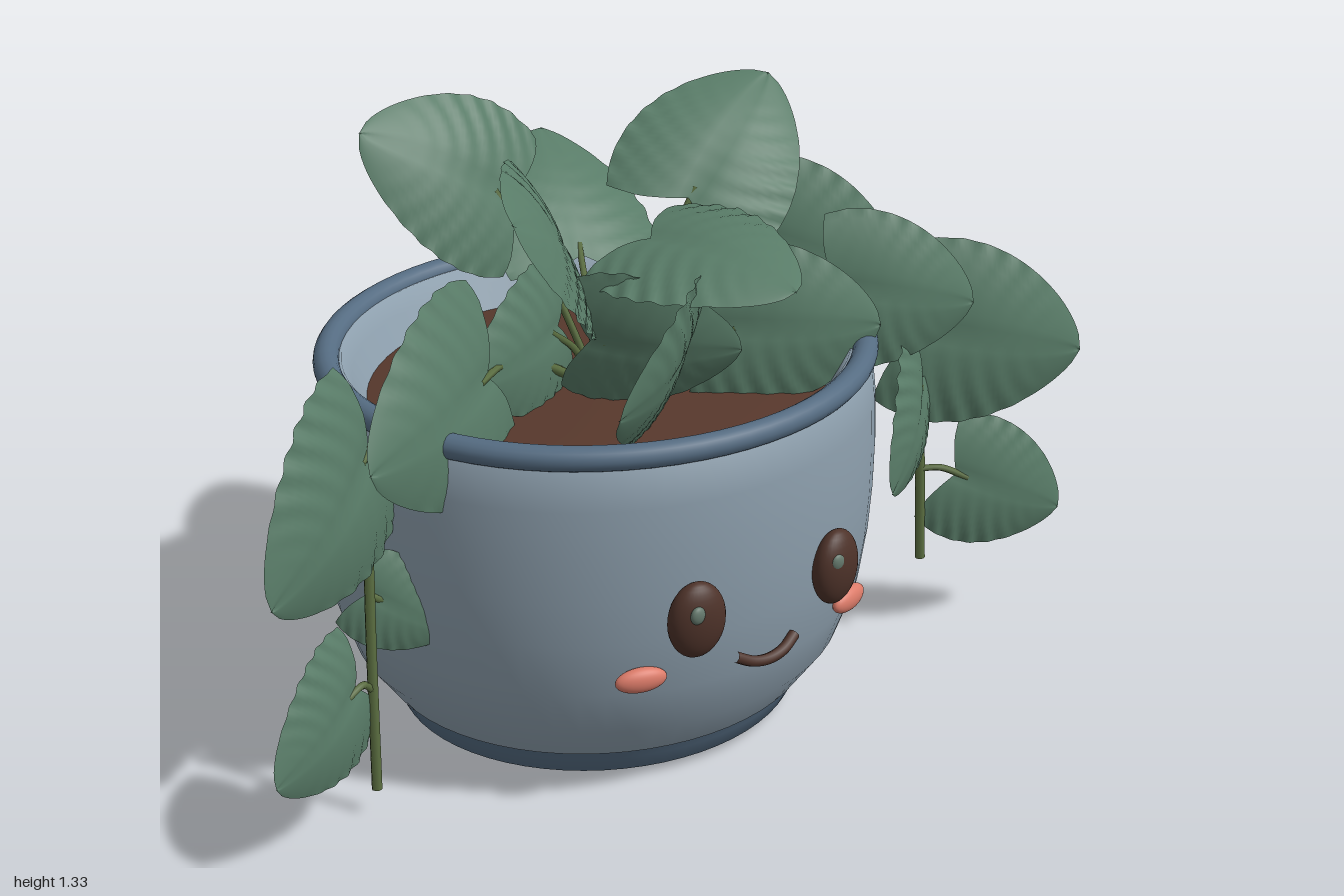
import * as THREE from 'three';

const mat = (name, color, side = THREE.FrontSide) => {
  const m = new THREE.MeshStandardMaterial({ color, side });
  m.name = name;
  return m;
};
const V = (a) => new THREE.Vector3(...a);

export function createModel() {
  const root = new THREE.Group();
  root.name = 'pottedPlant';

  const glaze = mat('greyBlueGlaze', 0x8d9fad, THREE.DoubleSide);
  const trim = mat('darkBlueTrim', 0x556c82, THREE.DoubleSide);
  const soilMat = mat('soilBrown', 0x57382c);
  const dark = mat('faceBrown', 0x4d3229);
  const glint = mat('eyeGlint', 0x64786c);
  const blush = mat('blushPink', 0xdc7b69);
  const green = mat('leafGreen', 0x587b67, THREE.DoubleSide);
  const stemMat = mat('stemGreen', 0x5a6d40);

  const add = (parent, name, geo, material, pos = [0, 0, 0], scale = [1, 1, 1]) => {
    const m = new THREE.Mesh(geo, material);
    m.name = name;
    m.position.set(...pos);
    m.scale.set(...scale);
    parent.add(m);
    return m;
  };
  const lathe = (pts) => new THREE.LatheGeometry(pts.map((p) => new THREE.Vector2(...p)), 64);

  // Pot: slightly oval, radii given along z
  const pot = new THREE.Group();
  pot.name = 'pot';
  pot.position.set(-0.008, 0, -0.016);
  pot.scale.set(1.073, 1, 1);
  root.add(pot);
  add(pot, 'potBody', lathe([
    [0.45, 0.085], [0.508, 0.17], [0.545, 0.28], [0.561, 0.4], [0.567, 0.5], [0.568, 0.6],
    [0.564, 0.7], [0.553, 0.8], [0.51, 0.81], [0.49, 0.77], [0.455, 0.7],
  ]), glaze);
  add(pot, 'potBase', lathe([
    [0.11, 0.12], [0.125, 0.075], [0.17, 0.045], [0.25, 0.02], [0.34, 0], [0.39, 0.008],
    [0.415, 0.022], [0.432, 0.06], [0.447, 0.09],
  ]), trim);
  const rim = add(pot, 'potRim', new THREE.TorusGeometry(0.54, 0.026, 16, 72), trim, [0, 0.806, 0]);
  rim.rotation.x = Math.PI / 2;
  add(pot, 'soil', lathe([[0.47, 0.715], [0.3, 0.735], [0, 0.74]]), soilMat);

  // Face
  const face = new THREE.Group();
  face.name = 'face';
  root.add(face);
  const ball = new THREE.SphereGeometry(1, 28, 18);
  for (const s of [-1, 1]) {
    const x = -0.006 + s * 0.183;
    add(face, 'eye', ball, dark, [x, 0.453, 0.542], [0.063, 0.083, 0.036]).rotation.y = s * 0.2;
    add(face, 'eyeGlint', ball, glint, [x - 0.02, 0.48, 0.57], [0.017, 0.019, 0.01]);
    add(face, 'cheek', ball, blush, [-0.006 + s * 0.277, 0.322, 0.485], [0.055, 0.027, 0.02]).rotation.y = s * 0.3;
  }
  const smile = new THREE.CatmullRomCurve3(
    [[-0.083, 0.329, 0.54], [-0.045, 0.311, 0.55], [-0.005, 0.305, 0.553], [0.035, 0.311, 0.55], [0.073, 0.329, 0.54]].map(V));
  add(face, 'mouth', new THREE.TubeGeometry(smile, 24, 0.012, 8), dark);

  // Stems and vines
  const stem = (name, pts, r) => {
    const curve = new THREE.CatmullRomCurve3(pts.map(V));
    add(root, name, new THREE.TubeGeometry(curve, 8 * pts.length, r, 8), stemMat);
  };
  stem('rightVine', [[-0.7, 0.06, 0.15], [-0.68, 0.5, 0.12], [-0.65, 0.76, 0.09], [-0.54, 0.86, 0.07], [-0.25, 0.85, 0.04], [-0.03, 0.72, 0]], 0.011);
  stem('leftVine', [[0.68, 0.2, 0.28], [0.67, 0.55, 0.26], [0.64, 0.78, 0.23], [0.5, 0.88, 0.22], [0.25, 0.87, 0.19], [0.04, 0.72, 0.1]], 0.011);
  stem('sideVine', [[0.62, 0.82, -0.12], [0.52, 0.865, -0.16], [0.2, 0.87, -0.19], [0.08, 0.72, -0.1]], 0.01);

  // Blunt heart-shaped leaf: a plane reshaped with lobes, a soft fold and side-vein ripples
  const leafGeo = new THREE.PlaneGeometry(2, 1, 16, 44);
  const p = leafGeo.attributes.position;
  for (let i = 0; i < p.count; i++) {
    const v = p.getX(i), u = p.getY(i) + 0.5, a = Math.abs(v);
    const half = 0.53 * Math.pow(Math.max(0, Math.sin(Math.PI * Math.pow(0.2 + 0.8 * u, 0.8))), 0.6);
    const back = 0.2 * (1 - u) * a * (1.7 - a);
    const bend = 0.08 * Math.sin(Math.PI * u) - 0.09 * a * a * half * 2 - 0.008 * Math.exp(-a * 25);
    const ripple = 0.012 * a * Math.sin(48 * u - 14 * a) * Math.sin(Math.PI * Math.min(1, u + 0.15));
    p.setXYZ(i, v * half, u - back, bend + ripple);
  }
  leafGeo.computeVertexNormals();

  // Leaf from its base and tip, facing roughly along n, with a leaf stalk from s
  const leaf = (name, b, t, n, s) => {
    const base = V(b), axis = V(t).sub(base), len = axis.length();
    axis.normalize();
    const side = axis.clone().cross(V(n)).normalize();
    const normal = side.clone().cross(axis);
    const m = add(root, name, leafGeo, green, b, [len, len, len]);
    m.quaternion.setFromRotationMatrix(new THREE.Matrix4().makeBasis(side, axis, normal));
    const start = V(s), mid = start.clone().lerp(base, 0.55);
    mid.y += 0.01;
    const stalk = new THREE.CatmullRomCurve3([start, mid, base.clone().addScaledVector(axis, 0.03)]);
    add(root, name + 'Stalk', new THREE.TubeGeometry(stalk, 12, 0.008, 6), stemMat);
  };

  // Upright crown leaves
  leaf('crownLeafBack', [-0.13, 1.12, -0.165], [-0.42, 1.29, -0.265], [0, 0.475, 0.88], [0, 0.72, -0.04]);
  leaf('crownLeafRight', [-0.1, 1.04, 0], [-0.37, 1.22, 0.19], [0.78, 0.42, 0.45], [0.01, 0.72, 0.03]);
  leaf('crownLeafLeft', [0.23, 1.08, -0.01], [0.53, 1.27, -0.11], [-0.48, 0.6, 0.62], [0.04, 0.72, 0]);
  leaf('crownLeafRear', [0.13, 0.9, -0.25], [0.25, 1.08, -0.56], [0, 0.84, 0.53], [0.02, 0.72, -0.06]);
  leaf('crownLeafFront', [0.04, 1.07, 0.1], [0.13, 1.04, 0.45], [-0.2, 0.97, 0.05], [0.03, 0.72, 0.03]);

  // Leaves leaning on the front of the soil
  leaf('innerLeaf', [0.02, 0.89, 0.25], [-0.28, 0.86, 0.41], [0.5, -0.3, 0.8], [0.02, 0.72, 0.1]);
  leaf('innerLeaf', [-0.13, 0.89, 0.12], [0.13, 0.86, 0.29], [-0.55, -0.25, 0.78], [-0.02, 0.72, 0.06]);
  leaf('innerLeaf', [0.14, 0.88, 0.21], [0.46, 0.85, 0.35], [-0.4, 0.1, 0.9], [0.06, 0.74, 0.12]);
  leaf('innerLeaf', [-0.12, 0.88, 0], [-0.4, 0.85, 0.09], [0.3, 0.1, 0.93], [-0.03, 0.72, 0]);

  // Leaves on the vine at the model's right
  leaf('rightVineLeaf', [-0.37, 0.87, 0.1], [-0.75, 0.82, 0.25], [0.3, 0.2, 0.93], [-0.26, 0.85, 0.04]);
  leaf('rightVineLeaf', [-0.67, 0.8, 0.12], [-0.99, 0.62, 0.27], [0.38, 0.1, 0.92], [-0.63, 0.78, 0.09]);
  leaf('rightVineLeaf', [-0.74, 0.31, 0.15], [-0.99, 0.22, 0.25], [0.37, 0.1, 0.93], [-0.69, 0.28, 0.135]);
  leaf('rightVineLeaf', [-0.67, 0.48, 0.1], [-0.53, 0.38, 0.18], [-0.45, 0.2, 0.85], [-0.68, 0.45, 0.12]);

  // Leaves on the vine at the model's left
  leaf('leftVineLeaf', [0.41, 0.92, 0.26], [0.7, 0.85, 0.38], [-0.38, 0.15, 0.9], [0.28, 0.87, 0.19]);
  leaf('leftVineLeaf', [0.64, 0.77, 0.28], [0.99, 0.68, 0.43], [-0.38, 0.1, 0.92], [0.64, 0.78, 0.23]);
  leaf('leftVineLeaf', [0.63, 0.67, 0.31], [0.44, 0.49, 0.43], [0.52, 0.1, 0.8], [0.665, 0.6, 0.26]);
  leaf('leftVineLeaf', [0.75, 0.4, 0.31], [0.99, 0.28, 0.4], [-0.37, 0.1, 0.92], [0.675, 0.42, 0.27]);

  // Leaves on the short side vine
  leaf('sideVineLeaf', [0.5, 0.9, -0.11], [0.81, 0.77, 0.03], [-0.45, 0.12, 0.85], [0.47, 0.87, -0.165]);
  leaf('sideVineLeaf', [0.66, 0.75, -0.09], [0.78, 0.56, -0.01], [-0.5, 0.12, 0.85], [0.62, 0.82, -0.12]);

  return root;
}
